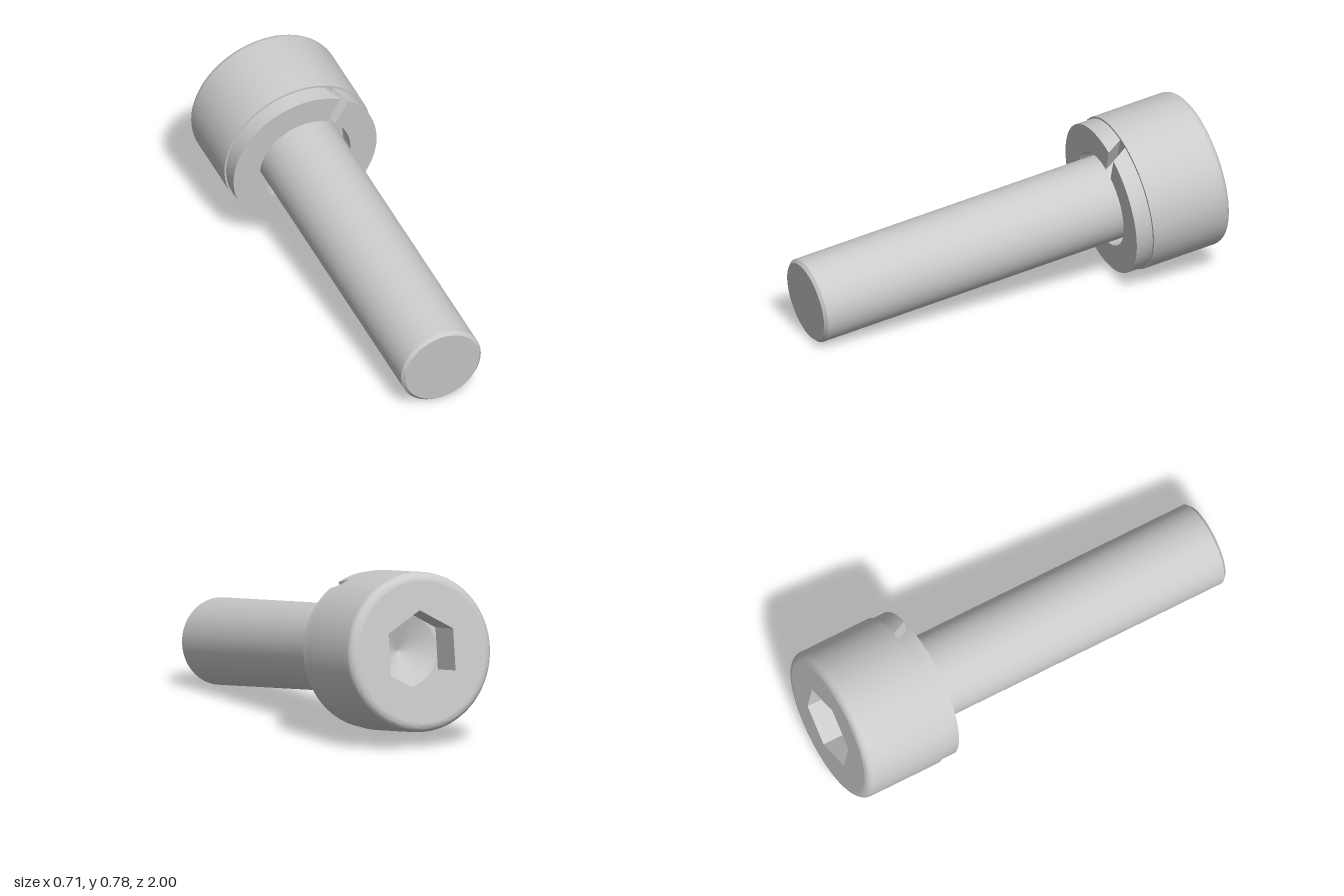
import * as THREE from 'three';
import { toCreasedNormals } from 'three/addons/utils/BufferGeometryUtils.js';

const R = 0.195, HEAD_R = 0.3575, NECK = 1.56, LENGTH = 1.95, FILLET = 0.04;
const HEX_R = 0.188, BORE_R = 0.162, SOCKET_DEPTH = 0.17, CONE_DEPTH = 0.07;

function addMesh(group, name, geometry, side = THREE.FrontSide) {
  const mesh = new THREE.Mesh(geometry, new THREE.MeshStandardMaterial({ color: 0xcccccc, side }));
  mesh.name = name;
  group.add(mesh);
}

// Hexagon with corners on the vertical axis
function hexPoints() {
  return Array.from({ length: 6 }, (_, i) => {
    const a = Math.PI / 2 + i * Math.PI / 3;
    return new THREE.Vector2(HEX_R * Math.cos(a), HEX_R * Math.sin(a));
  });
}

// Flat plate with a hole, facing the head end
function plate(shape, hole, y) {
  shape.holes.push(hole);
  return new THREE.ShapeGeometry(shape, 48).rotateX(-Math.PI / 2).translate(0, y, 0);
}

// Split ring whose gap runs at a slant through the thickness
function splitRing(inner, outer, front, back) {
  const base = THREE.MathUtils.degToRad(63.8), gap = 0.048, slant = 0.045, steps = 96;
  const corners = [[inner, front, 0], [outer, front, 0], [outer, back, slant], [inner, back, slant]];
  const position = [], index = [];
  for (let i = 0; i <= steps; i++) {
    for (const [r, y, shift] of corners) {
      const start = base + Math.asin(shift / r);
      const end = base + 2 * Math.PI + Math.asin((shift - gap) / r);
      const a = start + (end - start) * i / steps;
      position.push(r * Math.cos(a), y, r * Math.sin(a));
    }
    if (i === steps) break;
    for (let k = 0; k < 4; k++) {
      const p = i * 4 + k, p1 = i * 4 + (k + 1) % 4;
      index.push(p, p1, p + 4, p1, p1 + 4, p + 4);
    }
  }
  const e = steps * 4;
  index.push(0, 2, 1, 0, 3, 2, e, e + 1, e + 2, e, e + 2, e + 3);
  const geometry = new THREE.BufferGeometry();
  geometry.setAttribute('position', new THREE.Float32BufferAttribute(position, 3));
  geometry.setIndex(index);
  return toCreasedNormals(geometry, 0.5);
}

export function createModel() {
  const model = new THREE.Group();
  model.name = 'socketScrew';

  // Screw axis along local +y, from the tip to the head
  const screw = new THREE.Group();
  screw.name = 'screwAssembly';
  model.add(screw);

  // Shank with chamfered tip
  const shank = [[0, 0], [0.181, 0], [R, 0.014], [R, NECK]];
  addMesh(screw, 'shank', toCreasedNormals(
    new THREE.LatheGeometry(shank.map(p => new THREE.Vector2(...p)), 96), 0.5));

  // Head with rounded outer edge
  const profile = [new THREE.Vector2(R, NECK), new THREE.Vector2(HEAD_R, NECK)];
  for (let i = 0; i <= 8; i++) {
    const a = i / 8 * Math.PI / 2;
    profile.push(new THREE.Vector2(
      HEAD_R - FILLET + FILLET * Math.cos(a), LENGTH - FILLET + FILLET * Math.sin(a)));
  }
  addMesh(screw, 'head', toCreasedNormals(new THREE.LatheGeometry(profile, 96), 0.5));

  // Head face with hexagonal opening
  const face = new THREE.Shape().absarc(0, 0, HEAD_R - FILLET, 0, Math.PI * 2);
  addMesh(screw, 'headFace', plate(face, new THREE.Path(hexPoints()), LENGTH));

  // Hexagonal socket: walls, ledge and conical bottom
  const floorY = LENGTH - SOCKET_DEPTH;
  addMesh(screw, 'socketWalls', toCreasedNormals(
    new THREE.CylinderGeometry(HEX_R, HEX_R, SOCKET_DEPTH, 6, 1, true)
      .translate(0, LENGTH - SOCKET_DEPTH / 2, 0), 0.5), THREE.BackSide);
  const bore = new THREE.Path().absarc(0, 0, BORE_R, 0, Math.PI * 2);
  addMesh(screw, 'socketLedge', plate(new THREE.Shape(hexPoints()), bore, floorY));
  addMesh(screw, 'socketCone', new THREE.ConeGeometry(BORE_R, CONE_DEPTH, 96, 1, true)
    .rotateX(Math.PI).translate(0, floorY - CONE_DEPTH / 2, 0), THREE.BackSide);

  // Split lock washer under the head
  addMesh(screw, 'lockWasher', splitRing(0.221, 0.35, 1.478, 1.558));

  // Lay the screw down, tilted so the tip rests on the floor
  screw.rotation.x = THREE.MathUtils.degToRad(7) - Math.PI / 2;
  screw.position.set(0, 0.192, 0.977);
  return model;
}
